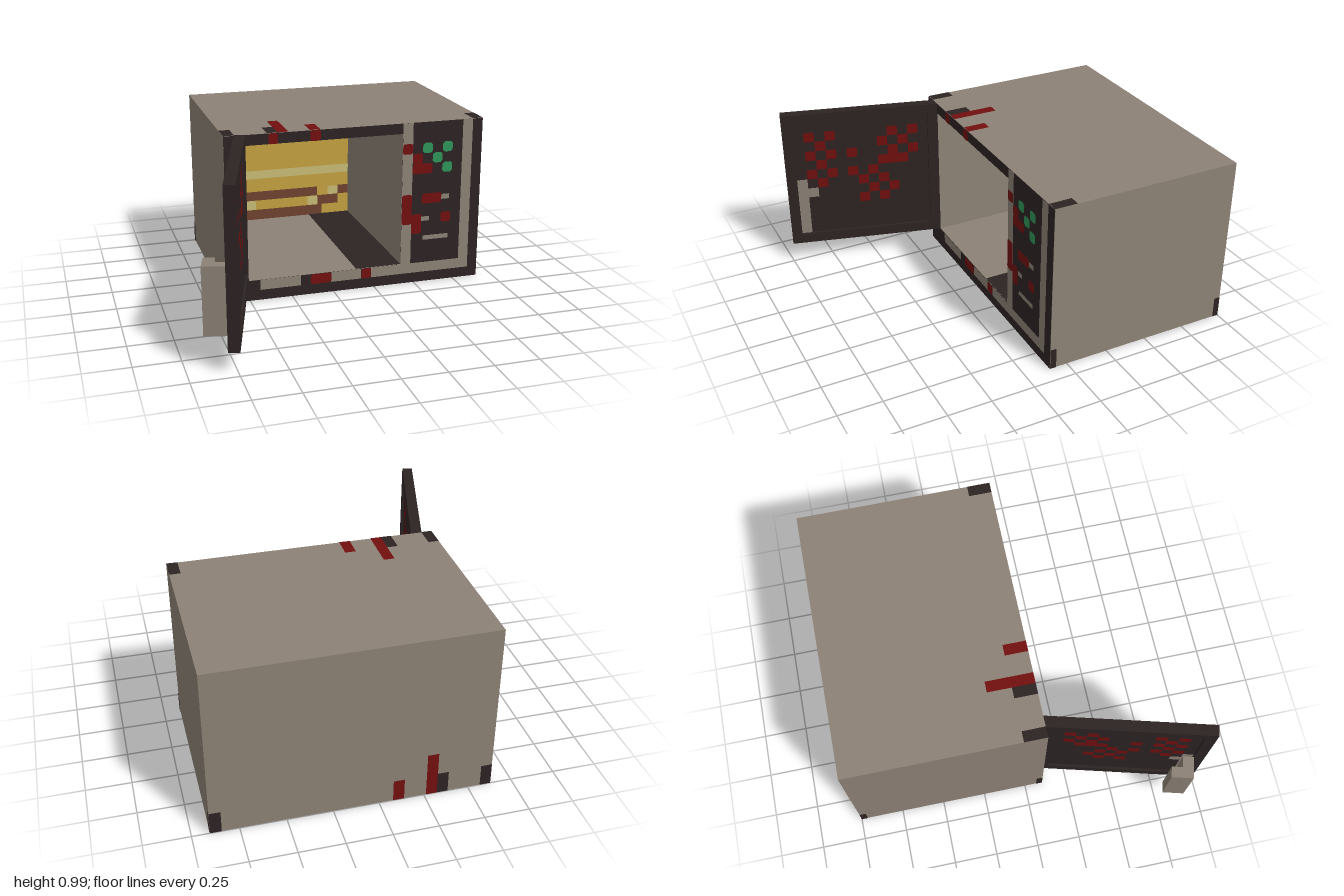
import * as THREE from 'three';

// One working unit is one cell of the painted pattern.
const CELL = 0.0614;

function mat(name, color) {
  const m = new THREE.MeshStandardMaterial({ color });
  m.name = name;
  return m;
}

export function createModel() {
  const grey = mat('warm grey', 0x8c8175), dark = mat('dark brown', 0x2d2323),
    red = mat('dark red', 0x720f0f), green = mat('green', 0x2f9459),
    yellow = mat('yellow', 0xc4a240), pale = mat('pale yellow', 0xc9bd75),
    brown = mat('brown', 0x6f4330);

  const root = new THREE.Group();
  root.name = 'microwaveOven';
  root.scale.setScalar(CELL);
  root.position.set(-0.63, 0, 0.105);

  function group(name, parent, pos = [0, 0, 0], rot = [0, 0, 0]) {
    const g = new THREE.Group();
    g.name = name;
    g.position.set(...pos);
    g.rotation.set(...rot);
    parent.add(g);
    return g;
  }

  function box(name, parent, m, x0, x1, y0, y1, z0, z1) {
    const mesh = new THREE.Mesh(new THREE.BoxGeometry(x1 - x0, y1 - y0, z1 - z0), m);
    mesh.position.set((x0 + x1) / 2, (y0 + y1) / 2, (z0 + z1) / 2);
    mesh.name = name;
    parent.add(mesh);
  }

  // Flat painted rectangle facing the group's +z, with optional cut corners.
  function paint(name, parent, m, rects, layer = 1, cut = 0) {
    const shapes = rects.map(([x0, x1, y0, y1]) => new THREE.Shape((cut ? [
      [x0 + cut, y0], [x1 - cut, y0], [x1, y0 + cut], [x1, y1 - cut],
      [x1 - cut, y1], [x0 + cut, y1], [x0, y1 - cut], [x0, y0 + cut],
    ] : [[x0, y0], [x1, y0], [x1, y1], [x0, y1]]).map(p => new THREE.Vector2(...p))));
    const mesh = new THREE.Mesh(new THREE.ShapeGeometry(shapes), m);
    mesh.position.z = layer * 0.03;
    mesh.name = name;
    parent.add(mesh);
  }

  // Hollow casing
  const casing = group('casing', root);
  box('leftHandWall', casing, grey, 0, 2, 0, 16, -18, 0);
  box('controlHousing', casing, grey, 17, 25, 0, 16, -18, 0);
  box('floor', casing, grey, 2, 17, 0, 2, -18, 0);
  box('roof', casing, grey, 2, 17, 15, 16, -18, 0);
  box('backWall', casing, grey, 2, 17, 2, 15, -18, -17);

  // Front frame around the opening
  const front = group('frontPanel', root);
  const frame = new THREE.Shape([[0, 0], [25, 0], [25, 16], [0, 16]].map(p => new THREE.Vector2(...p)));
  frame.holes.push(new THREE.Path([[2, 2], [2, 15], [17, 15], [17, 2]].map(p => new THREE.Vector2(...p))));
  const frameMesh = new THREE.Mesh(new THREE.ShapeGeometry(frame), dark);
  frameMesh.position.z = 0.03;
  frameMesh.name = 'frontFrame';
  front.add(frameMesh);
  paint('frontTrim', front, grey, [
    [17, 18, 1, 16], [23, 24, 2, 16], [18, 24, 1, 2], [14, 17, 1, 2], [10, 13, 1, 2], [3.1, 7, 1, 2],
  ], 2);
  paint('panelLabels', front, grey, [
    [21, 21.8, 8.3, 8.8], [19, 19.8, 6.25, 6.7], [19.2, 21.8, 4.3, 4.75],
  ], 2);
  paint('frontStains', front, red, [
    [8, 10, 1, 2], [13, 14, 1, 2], [4.1, 5, 15, 16], [8, 9, 15, 16], [17, 18, 13, 14],
    [18, 19, 12, 13], [18, 20, 11, 12], [17, 18, 6, 9], [18, 19, 5, 7], [19, 21, 8, 9], [21, 22, 6, 7],
  ], 3, 0.15);
  paint('displayCells', front, green, [[19, 13], [21, 13], [20, 12], [21, 11]]
    .map(([x, y]) => [x, x + 1, y, y + 1]), 3, 0.2);

  // Corner marks and drips on the roof and back
  const roof = group('roofPaint', root, [0, 16, 0], [-Math.PI / 2, 0, 0]);
  const back = group('backPaint', root, [25, 0, -18], [0, Math.PI, 0]);
  const flip = rects => rects.map(([a, b, c, d]) => [25 - b, 25 - a, c, d]);
  const marks = [[0, 1, 0, 2.1], [24, 25, 0, 2.1], [4, 5, 0, 2.1]];
  const drips = [[5, 6, 0, 4.3], [8, 9, 0, 2.1]];
  paint('roofMarks', roof, dark, marks);
  paint('roofDrips', roof, red, drips);
  paint('backMarks', back, dark, flip(marks));
  paint('backDrips', back, red, flip(drips));

  // Corner marks on both sides
  const sideMarks = [[0, 0.6, 0, 2], [17.4, 18, 0, 2]];
  paint('sideMarks', group('leftSidePaint', root, [25, 0, 0], [0, Math.PI / 2, 0]), dark, sideMarks);
  paint('sideMarks', group('rightSidePaint', root, [0, 0, -18], [0, -Math.PI / 2, 0]), dark, sideMarks);

  // Dark half of the underside and of the cavity floor
  paint('undersidePatch', group('underside', root, [0, 0, -18], [Math.PI / 2, 0, 0]), dark, [[12.5, 25, 0, 18]]);
  paint('cavityFloorPatch', group('cavityFloor', root, [0, 2, 0], [-Math.PI / 2, 0, 0]), dark, [[12.5, 17, 0, 17]]);

  // Painted back of the cavity, mirrored about its middle
  const inside = group('cavityBack', root, [0, 0, -17]);
  const both = rects => rects.flatMap(([a, b, c, d]) => [[a, b, c, d], [19 - b, 19 - a, c, d]]);
  paint('cavityBackBase', inside, yellow, [[2, 17, 2, 15]]);
  paint('paleBand', inside, pale, [[2, 17, 6.6, 7.5]], 2);
  paint('paleCorners', inside, pale, both([
    [2, 5.5, 14, 15], [2, 4.5, 13, 14], [2, 3.3, 11.8, 13], [3.15, 4.3, 4.15, 5.1], [5.5, 6.6, 3.1, 4.15],
  ]), 2, 0.15);
  paint('brownBands', inside, brown, [[5.5, 13.5, 4.15, 5.15], [5, 14, 2, 3.1],
    ...both([[2, 3.2, 4.15, 5.15], [3.15, 5.5, 3.1, 4.15]])], 2);

  // Open door: rim, recessed pane and hooked handle
  const door = group('door', root, [2, 2, 0], [0, -Math.PI / 12, 0]);
  box('doorRimBottom', door, dark, -1, 0, 0, 1, 0, 15);
  box('doorRimTop', door, dark, -1, 0, 13, 14, 0, 15);
  box('doorRimHinge', door, dark, -1, 0, 1, 13, 0, 1);
  box('doorRimFree', door, dark, -1, 0, 1, 13, 14, 15);
  box('doorPane', door, dark, -0.75, -0.25, 1, 13, 1, 14);
  box('handleArm', door, grey, -3, -1, 1, 7, 13, 14);
  box('handleGrip', door, grey, -3, -2, 1, 7, 12, 13);

  // Columns of red cells for each row of the pane, from the top
  const rows = [[], [1, 3, 9, 11], [2, 8, 10], [1, 3, 5, 9, 11], [2, 8, 9, 10], [1, 3, 5, 7], [2, 6, 8], [7, 9], [6, 8]];
  const cells = rows.flatMap((cols, r) => cols.map(c => [c, c + 1, 11 - r, 12 - r]));
  const streak = [[0, 1, 0, 6], [1, 2, 4, 5]];
  const mirror = rects => rects.map(([a, b, c, d]) => [-b, -a, c, d]);
  const inner = group('paneInnerPaint', door, [-0.25, 1, 14], [0, Math.PI / 2, 0]);
  const outer = group('paneOuterPaint', door, [-0.75, 1, 14], [0, -Math.PI / 2, 0]);
  paint('paneStains', inner, red, cells);
  paint('paneStreak', inner, grey, streak);
  paint('paneStains', outer, red, mirror(cells));
  paint('paneStreak', outer, grey, mirror(streak));

  const model = new THREE.Group();
  model.name = 'model';
  model.add(root);
  return model;
}
